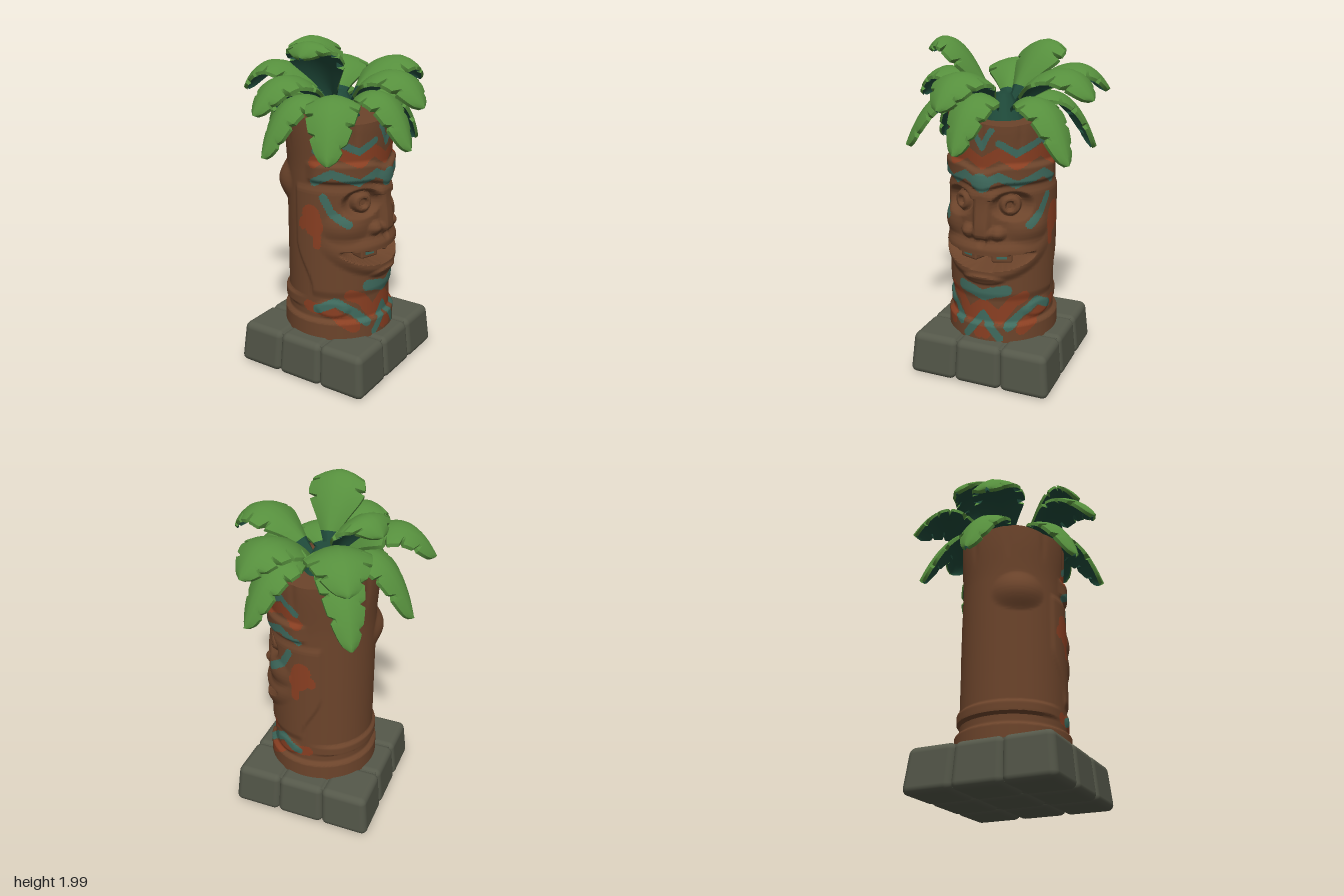
import * as THREE from 'three';
import { toCreasedNormals } from 'three/addons/utils/BufferGeometryUtils.js';
import { RoundedBoxGeometry } from 'three/addons/geometries/RoundedBoxGeometry.js';

const material = (name, color, side = THREE.FrontSide) => {
  const m = new THREE.MeshStandardMaterial({ color, side });
  m.name = name;
  return m;
};
const named = (name, geometry, mat) => {
  const mesh = new THREE.Mesh(geometry, mat);
  mesh.name = name;
  return mesh;
};

// Builds an indexed geometry whose triangles are sorted into one group per material
function groupedGeometry(positions, buckets, crease) {
  const geo = new THREE.BufferGeometry();
  geo.setAttribute('position', new THREE.Float32BufferAttribute(positions, 3));
  geo.setIndex(buckets.flat());
  let start = 0;
  buckets.forEach((b, i) => { geo.addGroup(start, b.length, i); start += b.length; });
  return toCreasedNormals(geo, crease);
}

// Falloffs: a soft ellipse, and a plateau with a firmer edge
const smooth = (a, b, x) => THREE.MathUtils.smoothstep(x, a, b);
const dist = (u, y, cu, cy, ru, ry) => Math.hypot((u - cu) / ru, (y - cy) / ry);
const soft = (...p) => Math.pow(Math.max(0, 1 - dist(...p) ** 2), 1.5);
const plateau = (...p) => 1 - smooth(0.6, 1.08, dist(...p));

// Mouth opening in (arc from the face centre, height)
const mouthLine = u => 0.75 + 0.045 * (u / 0.3) ** 2;
const mouthOpen = (u, y) => dist(u, y, 0, mouthLine(u), 0.3, 0.042);

// Carved trunk radius; the face looks along +x, a is the signed angle from it
function trunkRadius(a, y) {
  const u = 0.32 * Math.abs(a);
  let r = 0.308 + 0.014 * smooth(1.25, 1.55, y);
  r += 0.027 * (1 - smooth(0.355, 0.37, y));                                  // foot ring
  r += 0.02 * smooth(0.5, 0.75, u) * plateau(0, y, 0, 0.455, 1, 0.04);         // rear ledge
  const jaw = 0.5 + 0.12 * smooth(0.55, 0.85, y);
  r += 0.012 * (1 - smooth(jaw - 0.03, jaw, u)) * smooth(0.5, 0.56, y) * (1 - smooth(1.15, 1.2, y));
  const brow = 1.235 + 0.035 * smooth(0, 0.15, u);
  r += 0.024 * plateau(0, y, 0, brow, 1, 0.062) * (1 - smooth(0.44, 0.54, u)); // brow
  r += 0.012 * soft(u, y, 0, 1.225, 0.09, 0.09);
  r -= 0.055 * plateau(u, y, 0.18, 1.09, 0.13, 0.085);                         // eye socket
  r += 0.045 * plateau(u, y, 0.17, 1.09, 0.08, 0.07);                          // eyeball
  r -= 0.022 * plateau(u, y, 0.165, 1.09, 0.03, 0.03);                         // pupil
  r += 0.025 * soft(u, y, 0.28, 0.95, 0.15, 0.1);                              // cheek
  const nose = 0.05 + 0.04 * smooth(1.12, 0.94, y);
  r += (0.02 + 0.018 * (1 - smooth(0.93, 1.12, y))) * (1 - smooth(nose * 0.5, nose * 1.3, u))
    * smooth(0.87, 0.92, y) * (1 - smooth(1.14, 1.2, y));
  r += 0.035 * soft(u, y, 0.09, 0.93, 0.06, 0.05);                             // nostril wing
  r += 0.026 * plateau(u, y, 0, mouthLine(u), 0.42, 0.125);                    // lips
  r -= 0.01 * plateau(u, y, 0, 0.87, 0.03, 0.03);
  r += 0.014 * plateau(u, y, 0, 0.645, 0.14, 0.035);                           // chin
  r += 0.012 * plateau(u, y, 0.36, 0.44, 0.12, 0.06);                          // lower shoulder
  const open = 1 - smooth(0.85, 1.1, mouthOpen(u, y));
  r = THREE.MathUtils.lerp(r, 0.16 / Math.max(0.5, Math.cos(a)), open);
  r += 0.05 * soft(0.32 * (a - 2.6), y, 0, 1.16, 0.17, 0.13);                  // rear knot
  r -= 0.006 * smooth(1.35, 1.5, y) * Math.max(0, Math.cos(a * 9)) ** 6;       // bark splits
  return r;
}

// Painted strokes as [half width, u, y, u, y, ...], mirrored on both sides of the face
const tealStrokes = [
  [0.017, 0, 1.42, 0.06, 1.54],
  [0.02, 0.1, 1.45, 0.2, 1.39, 0.36, 1.465, 0.46, 1.39],
  [0.024, 0.03, 1.23, 0.1, 1.265, 0.2, 1.215, 0.36, 1.275, 0.47, 1.215],
  [0.055, 0, 1.225, 0.001, 1.225],
  [0.024, 0.41, 1.13, 0.36, 1.04, 0.27, 0.98],
  [0.035, 0, 0.54, 0.06, 0.565, 0.14, 0.58],
  [0.023, 0, 0.42, 0.1, 0.28],
  [0.026, 0.15, 0.35, 0.23, 0.42, 0.34, 0.49, 0.46, 0.43],
];
const redStrokes = [
  [0.032, 0, 1.33, 0.1, 1.39, 0.2, 1.335, 0.36, 1.4, 0.47, 1.33],
  [0.038, 0, 0.48, 0.1, 0.4, 0.18, 0.5, 0.25, 0.53],
  [0.03, 0, 0.32, 0.02, 0.3],
  [0.035, 0.23, 0.33, 0.36, 0.42, 0.52, 0.44],
  [0.06, 0.49, 1.02, 0.47, 0.95],
  [0.025, 0.45, 0.94, 0.45, 0.84],
  [0.03, 0.54, 0.97, 0.55, 0.95],
];
function onStroke([w, ...p], u, y) {
  for (let i = 0; i + 3 < p.length; i += 2) {
    const dx = p[i + 2] - p[i], dy = p[i + 3] - p[i + 1];
    const t = THREE.MathUtils.clamp(((u - p[i]) * dx + (y - p[i + 1]) * dy) / (dx * dx + dy * dy), 0, 1);
    if (Math.hypot(u - p[i] - dx * t, y - p[i + 1] - dy * t) < w) return true;
  }
  return false;
}

function trunkGeometry() {
  const cols = 220, rows = 170, pos = [], buckets = [[], [], []];
  // Columns are packed closer together around the face
  const angle = i => { const k = i / cols * 2 - 1; return Math.PI * (0.62 * k + 0.38 * k ** 3); };
  for (let j = 0; j <= rows; j++) for (let i = 0; i < cols; i++) {
    const a = angle(i), y = 0.25 + 1.32 * j / rows, r = trunkRadius(a, y);
    const rim = smooth(1.45, 1.57, y) * (0.008 * Math.sin(a * 5 + 1) - 0.022 * Math.cos(a));
    pos.push(r * Math.cos(a), y + rim, r * Math.sin(a));
  }
  for (let j = 0; j < rows; j++) for (let i = 0; i < cols; i++) {
    const n = (i + 1) % cols, p = j * cols + i, q = j * cols + n, s = p + cols, t = q + cols;
    for (const [tri, f] of [[[p, s, q], 0.33], [[q, s, t], 0.67]]) {
      const u = 0.32 * Math.abs(THREE.MathUtils.lerp(angle(i), angle(i + 1), f));
      const y = 0.25 + 1.32 * (j + f) / rows;
      const paint = tealStrokes.some(k => onStroke(k, u, y)) ? 1 : redStrokes.some(k => onStroke(k, u, y)) ? 2 : 0;
      buckets[paint].push(...tri);
    }
  }
  return groupedGeometry(pos, buckets, 0.75);
}

// A broad arching frond: light on top and rim, dark beneath and at the stem, slit along its edges
function leafGeometry([x, y, z], lift, width) {
  const tip = new THREE.Vector3(x, y, z), flat = new THREE.Vector3(x, 0, z);
  const at = (k, h) => flat.clone().multiplyScalar(k).setY(h);
  const curve = new THREE.QuadraticBezierCurve3(at(0.06, 1.56), at(0.66, lift), tip);
  const rows = 40, n = 7, ring = n * 2, pos = [], buckets = [[], []];
  const side = new THREE.Vector3(-z, 0, x).normalize();
  for (let j = 0; j <= rows; j++) {
    const t = j / rows, c = curve.getPoint(t), up = side.clone().cross(curve.getTangent(t));
    const w = 0.012 + width * smooth(0, 0.45, t) * Math.pow(1 - t ** 4, 0.6);
    for (let k = 0; k < ring; k++) {
      const under = k >= n, v = (under ? ring - 1 - k : k) / (n - 1) * 2 - 1;
      const slit = Math.abs(v) === 1 && (v > 0 ? [18, 26, 33] : [15, 23, 30, 36]).includes(j);
      const across = v * w * (slit ? 0.74 : 1);
      const drop = -0.26 * w * v * v - (under ? 0.02 : 0) + 0.012 * (1 - Math.abs(v));
      const p = c.clone().addScaledVector(side, across).addScaledVector(up, drop);
      pos.push(p.x, p.y, p.z);
    }
  }
  for (let j = 0; j < rows; j++) for (let k = 0; k < ring; k++) {
    const m = (k + 1) % ring, p = j * ring + k, q = j * ring + m;
    const shaded = j < 6 || (k >= n && k < ring - 1);
    buckets[shaded ? 1 : 0].push(p, q, p + ring, q, q + ring, p + ring);
  }
  return groupedGeometry(pos, buckets, 0.7);
}

export function createModel() {
  const brown = material('carved wood', 0x6c442b, THREE.DoubleSide);
  const teal = material('teal paint', 0x3f6b5e);
  const red = material('red paint', 0x8a3f22);
  const stone = material('stone', 0x55584a);
  const green = material('leaf green', 0x568f3d, THREE.DoubleSide);
  const dark = material('leaf shade green', 0x1f4a3a, THREE.DoubleSide);
  const model = new THREE.Group();
  model.name = 'carvedPalmTotem';

  // Nine tapered stones around a filler that closes the joints
  const base = new THREE.Group();
  base.name = 'stoneBase';
  for (let i = -1; i <= 1; i++) for (let k = -1; k <= 1; k++) {
    const geo = new RoundedBoxGeometry(0.3, 0.26, 0.3, 4, 0.04);
    geo.translate(i * 0.294, 0.13, k * 0.294);
    const p = geo.attributes.position;
    for (let v = 0; v < p.count; v++) {
      const taper = 1 - 0.055 * p.getY(v) / 0.26;
      p.setX(v, p.getX(v) * taper - 0.008);
      p.setZ(v, p.getZ(v) * taper);
    }
    base.add(named('baseStone', geo, stone));
  }
  const filler = named('stoneFiller', new THREE.BoxGeometry(0.79, 0.23, 0.79), stone);
  filler.position.set(-0.008, 0.132, 0);
  base.add(filler);
  model.add(base);

  // Trunk with face, closed just below its rim
  model.add(named('carvedTrunk', trunkGeometry(), [brown, teal, red]));
  const lid = named('trunkTop', new THREE.CylinderGeometry(0.312, 0.312, 0.02, 40), brown);
  lid.position.y = 1.525;
  model.add(lid);

  // Upper teeth with a painted plate
  for (const a of [-0.36, 0.36]) {
    const tooth = new THREE.Group();
    tooth.name = 'tooth';
    const body = named('toothBody', new RoundedBoxGeometry(0.1, 0.07, 0.12, 2, 0.012), brown);
    const plate = named('toothPaint', new THREE.BoxGeometry(0.006, 0.025, 0.06), teal);
    plate.position.set(0.05, 0, 0);
    tooth.add(body, plate);
    tooth.position.set(0.25 * Math.cos(a), 0.78, 0.25 * Math.sin(a));
    tooth.rotation.y = -a;
    model.add(tooth);
  }

  // Crown: stem core, then fronds as [tip, lift, half width]
  const crown = new THREE.Group();
  crown.name = 'leafCrown';
  const core = named('stemCore', new THREE.CylinderGeometry(0.045, 0.13, 0.16, 9), dark);
  core.position.y = 1.6;
  crown.add(core);
  const fronds = [
    [[0.05, 1.91, 0.44], 2.15, 0.155], [[-0.4, 1.87, -0.21], 2.13, 0.165],
    [[0.21, 1.7, -0.59], 2.04, 0.165], [[-0.6, 1.66, 0.12], 2.04, 0.15],
    [[0.6, 1.66, 0.12], 2.04, 0.155], [[-0.14, 1.62, 0.6], 2.0, 0.135],
    [[-0.54, 1.35, -0.04], 1.9, 0.13], [[0.51, 1.41, 0.08], 1.9, 0.125],
    [[0.25, 1.38, 0.5], 1.89, 0.14], [[-0.18, 1.36, 0.49], 1.86, 0.125],
    [[-0.34, 1.68, -0.53], 2.03, 0.17], [[-0.34, 1.33, -0.46], 1.87, 0.12],
    [[0.26, 1.35, -0.48], 1.87, 0.125],
  ];
  for (const f of fronds) crown.add(named('frond', leafGeometry(...f), [green, dark]));
  model.add(crown);
  return model;
}
